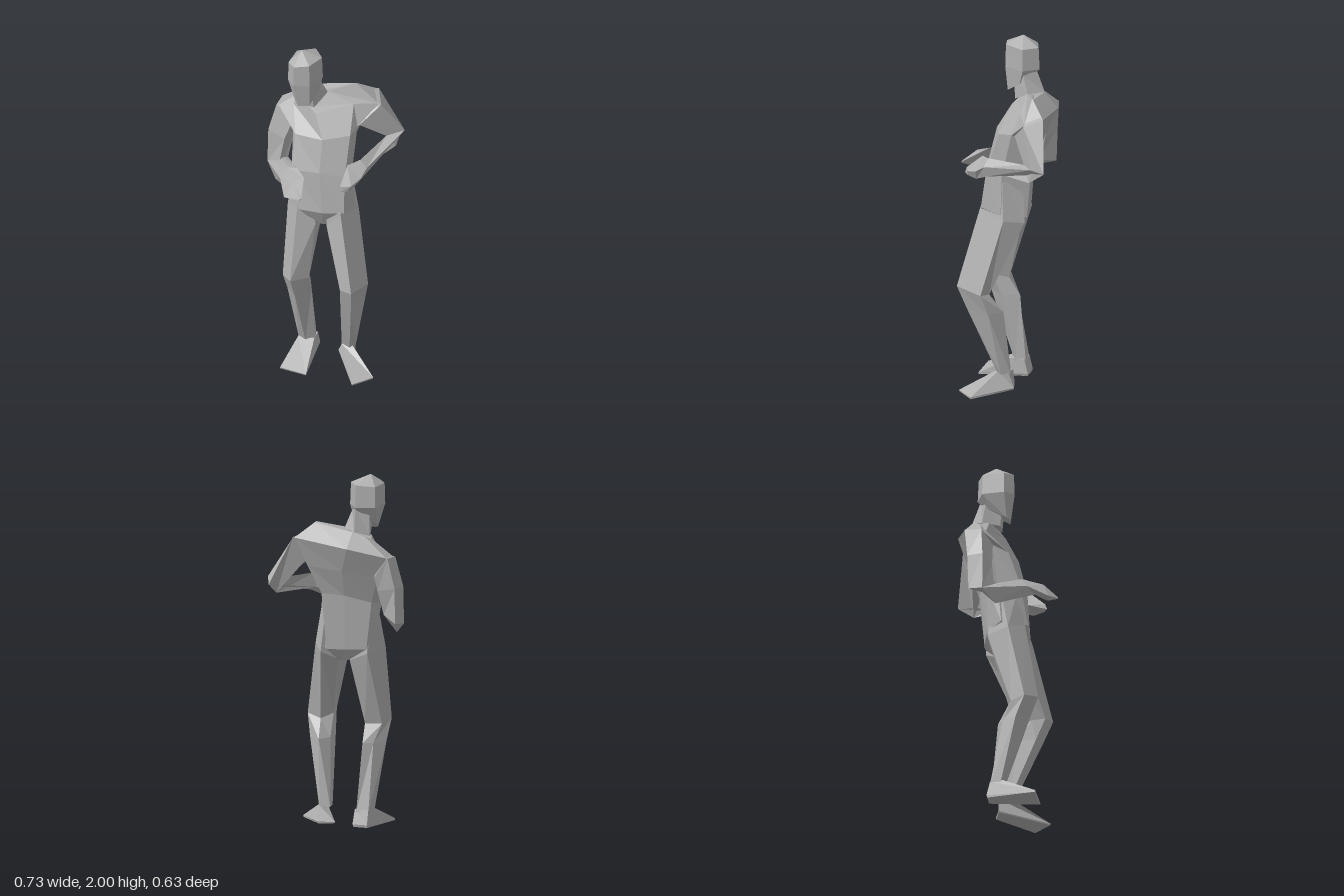
import * as THREE from 'three';

const grey = new THREE.MeshStandardMaterial({ color: 0xb0b0b0, flatShading: true });
grey.name = 'grey';

// Skin a stack of cross-sections (equal point counts), capped at both ends
function loft(name, rings) {
  const tris = [], n = rings[0].length;
  const centre = r => [0, 1, 2].map(k => r.reduce((s, p) => s + p[k], 0) / n);
  const first = rings[0], last = rings[rings.length - 1];
  for (let i = 0; i < n; i++) {
    const j = (i + 1) % n;
    for (let r = 0; r + 1 < rings.length; r++) {
      const a = rings[r], b = rings[r + 1];
      tris.push([a[i], a[j], b[j]], [a[i], b[j], b[i]]);
    }
    tris.push([centre(first), first[j], first[i]], [centre(last), last[i], last[j]]);
  }
  // Signed volume tells whether the corners must be reversed to face outward
  const volume = tris.reduce((s, [a, b, c]) => s
    + a[0] * (b[1] * c[2] - b[2] * c[1])
    + a[1] * (b[2] * c[0] - b[0] * c[2])
    + a[2] * (b[0] * c[1] - b[1] * c[0]), 0);
  if (volume < 0) tris.forEach(t => t.reverse());
  const geo = new THREE.BufferGeometry();
  geo.setAttribute('position', new THREE.Float32BufferAttribute(tris.flat(2), 3));
  geo.computeVertexNormals();
  const mesh = new THREE.Mesh(geo, grey);
  mesh.name = name;
  return mesh;
}

// Cross-section at one height from [x, z] pairs
const level = (y, pts) => pts.map(([x, z]) => [x, y, z]);

export function createModel() {
  const model = new THREE.Group();
  model.name = 'standingFigure';
  const add = (name, ...rings) => model.add(loft(name, rings));

  // Head: outline tapering to a pointed crown and a narrow jaw
  const skull = [[-0.213, 0.04], [-0.165, 0.09], [-0.08, 0.065], [-0.042, -0.05], [-0.105, -0.127], [-0.205, -0.085]];
  const browHeights = [1.945, 1.95, 1.96, 1.955, 1.955, 1.945];
  add('head',
    skull.map(([x, z]) => [-0.15 + (x + 0.15) * 0.05, 2, -0.015 + (z + 0.015) * 0.05]),
    skull.map(([x, z], i) => [-0.145 + (x + 0.145) * 0.96, browHeights[i], z * 0.95]),
    level(1.83, skull),
    [[-0.168, 1.695, 0.045], [-0.145, 1.685, 0.065], [-0.085, 1.69, 0.052], [-0.055, 1.75, -0.03], [-0.1, 1.8, -0.1], [-0.17, 1.75, -0.05]]);

  add('neck',
    [[-0.16, 1.79, 0.02], [-0.09, 1.79, 0.02], [-0.055, 1.8, -0.05], [-0.1, 1.83, -0.11], [-0.165, 1.8, -0.07]],
    [[-0.14, 1.66, 0.005], [-0.075, 1.65, 0.005], [-0.025, 1.705, -0.085], [-0.11, 1.7, -0.155], [-0.175, 1.67, -0.09]]);

  // Torso: twisted, with its left shoulder raised and drawn back
  add('torso',
    [[-0.17, 1.67, -0.05], [-0.08, 1.65, -0.005], [-0.025, 1.71, -0.085], [0.11, 1.745, -0.165],
      [0.115, 1.74, -0.172], [-0.1, 1.7, -0.155], [-0.17, 1.675, -0.14], [-0.19, 1.66, -0.1]],
    [[-0.215, 1.6, -0.06], [-0.06, 1.62, 0.02], [0.12, 1.65, -0.1], [0.24, 1.635, -0.167],
      [0.2, 1.665, -0.262], [-0.1, 1.62, -0.237], [-0.305, 1.572, -0.163], [-0.305, 1.565, -0.07]],
    [[-0.165, 1.485, 0.055], [0, 1.5, 0.083], [0.14, 1.52, 0.02], [0.155, 1.53, -0.06],
      [0.145, 1.5, -0.207], [-0.05, 1.48, -0.185], [-0.235, 1.45, -0.12], [-0.205, 1.52, -0.03]],
    [[-0.165, 1.29, 0.12], [0, 1.31, 0.13], [0.135, 1.29, 0.095], [0.145, 1.28, 0],
      [0.085, 1.34, -0.152], [-0.04, 1.33, -0.125], [-0.175, 1.29, -0.065], [-0.19, 1.28, 0]],
    [[-0.11, 1.06, 0.155], [0.02, 1.055, 0.142], [0.14, 1.07, 0.125], [0.165, 1.05, 0],
      [0.07, 1.02, -0.118], [-0.03, 1.02, -0.1], [-0.145, 1.025, -0.065], [-0.195, 1.06, 0.02]],
    [[-0.03, 0.95, 0.09], [0, 0.945, 0.09], [0.03, 0.95, 0.085], [0.04, 0.95, 0],
      [0.03, 0.95, -0.05], [0, 0.95, -0.05], [-0.03, 0.95, -0.05], [-0.04, 0.95, 0]]);

  // Left leg: front, outer, back, inner, inner front
  const leftKnee = [[0.22, 0.62, 0.235], [0.265, 0.6, 0.08], [0.18, 0.58, 0.06], [0.132, 0.6, 0.13], [0.145, 0.61, 0.205]];
  add('leftThigh',
    [[0.1, 1.25, 0.07], [0.14, 1.28, 0], [0.08, 1.25, -0.1], [0.02, 1.1, -0.06], [0.03, 1.1, 0.1]],
    [[0.125, 1.06, 0.135], [0.177, 1.02, -0.02], [0.105, 1.0, -0.118], [0.035, 0.95, -0.04], [0.035, 0.95, 0.11]],
    leftKnee);
  add('leftShin', leftKnee,
    level(0.48, [[0.2, 0.18], [0.237, 0.045], [0.16, -0.015], [0.122, 0.06], [0.13, 0.155]]),
    level(0.11, [[0.14, 0.03], [0.165, 0], [0.14, -0.05], [0.085, -0.03], [0.09, 0.015]]));
  add('leftFoot',
    level(0.12, [[0.09, 0.02], [0.155, 0.02], [0.15, -0.04], [0.09, -0.045]]),
    [[0.22, 0.008, 0.222], [0.31, 0.01, 0.122], [0.14, 0.03, -0.07], [0.052, 0.03, -0.04]],
    [[0.22, 0, 0.22], [0.308, 0, 0.12], [0.135, 0.018, -0.066], [0.055, 0.022, -0.038]]);

  // Right leg, same order
  const rightKnee = [[-0.14, 0.61, 0.215], [-0.205, 0.6, 0.15], [-0.18, 0.58, 0.07], [-0.09, 0.58, 0.045], [-0.06, 0.6, 0.13]];
  add('rightThigh',
    [[-0.14, 1.25, 0.1], [-0.18, 1.27, 0.01], [-0.14, 1.25, -0.04], [-0.05, 1.1, -0.05], [-0.04, 1.1, 0.1]],
    [[-0.125, 1.06, 0.14], [-0.207, 1.02, 0.06], [-0.15, 1.0, -0.065], [-0.04, 0.95, -0.05], [-0.03, 0.95, 0.11]],
    rightKnee);
  add('rightShin', rightKnee,
    level(0.48, [[-0.13, 0.165], [-0.195, 0.1], [-0.15, 0.02], [-0.1, -0.015], [-0.063, 0.08]]),
    level(0.1, [[-0.115, 0.03], [-0.16, 0.01], [-0.15, -0.05], [-0.08, -0.055], [-0.066, 0]]));
  add('rightFoot',
    level(0.115, [[-0.16, 0.02], [-0.068, 0.02], [-0.07, -0.05], [-0.15, -0.05]]),
    [[-0.2, 0.02, 0.21], [-0.05, 0.008, 0.212], [-0.065, 0.035, -0.073], [-0.15, 0.035, -0.07]],
    [[-0.2, 0.01, 0.207], [-0.05, 0, 0.21], [-0.07, 0.02, -0.07], [-0.15, 0.02, -0.066]]);

  // Left arm: elbow out and back, hand forward at the waist
  const leftElbow = [[0.362, 1.43, -0.25], [0.33, 1.4, -0.315], [0.322, 1.335, -0.225], [0.28, 1.42, -0.18]];
  const leftWrist = [[0.253, 1.36, 0.065], [0.235, 1.3, 0.055], [0.2, 1.32, 0.05], [0.212, 1.4, 0.055]];
  add('leftUpperArm',
    [[0.14, 1.69, -0.17], [0.13, 1.65, -0.22], [0.12, 1.55, -0.19], [0.13, 1.55, -0.1]],
    [[0.255, 1.63, -0.167], [0.208, 1.668, -0.265], [0.165, 1.52, -0.21], [0.16, 1.53, -0.08]],
    leftElbow);
  add('leftForearm', leftElbow, leftWrist);
  add('leftHand', leftWrist,
    [[0.235, 1.32, 0.12], [0.2, 1.262, 0.13], [0.137, 1.3, 0.11], [0.155, 1.385, 0.11]],
    [[0.2, 1.3, 0.18], [0.18, 1.27, 0.19], [0.145, 1.27, 0.215], [0.145, 1.3, 0.205]]);

  // Right arm: hangs down, forearm reaching forward across the body
  const rightElbow = [[-0.365, 1.19, -0.055], [-0.345, 1.2, -0.135], [-0.25, 1.23, -0.07], [-0.297, 1.12, 0.005]];
  const rightWrist = [[-0.215, 1.25, 0.165], [-0.18, 1.31, 0.13], [-0.12, 1.33, 0.15], [-0.16, 1.22, 0.2]];
  add('rightUpperArm',
    [[-0.27, 1.56, -0.08], [-0.27, 1.56, -0.15], [-0.19, 1.5, -0.12], [-0.18, 1.55, -0.03]],
    [[-0.318, 1.565, -0.068], [-0.312, 1.572, -0.163], [-0.22, 1.45, -0.13], [-0.2, 1.53, -0.025]],
    [[-0.36, 1.4, -0.055], [-0.345, 1.4, -0.142], [-0.23, 1.37, -0.11], [-0.255, 1.38, -0.02]],
    rightElbow);
  add('rightForearm', rightElbow, rightWrist);
  add('rightHand', rightWrist,
    [[-0.155, 1.21, 0.275], [-0.11, 1.3, 0.24], [-0.065, 1.31, 0.2], [-0.1, 1.205, 0.26]],
    [[-0.055, 1.235, 0.312], [-0.05, 1.245, 0.31], [-0.045, 1.245, 0.305], [-0.05, 1.235, 0.308]]);

  return model;
}
